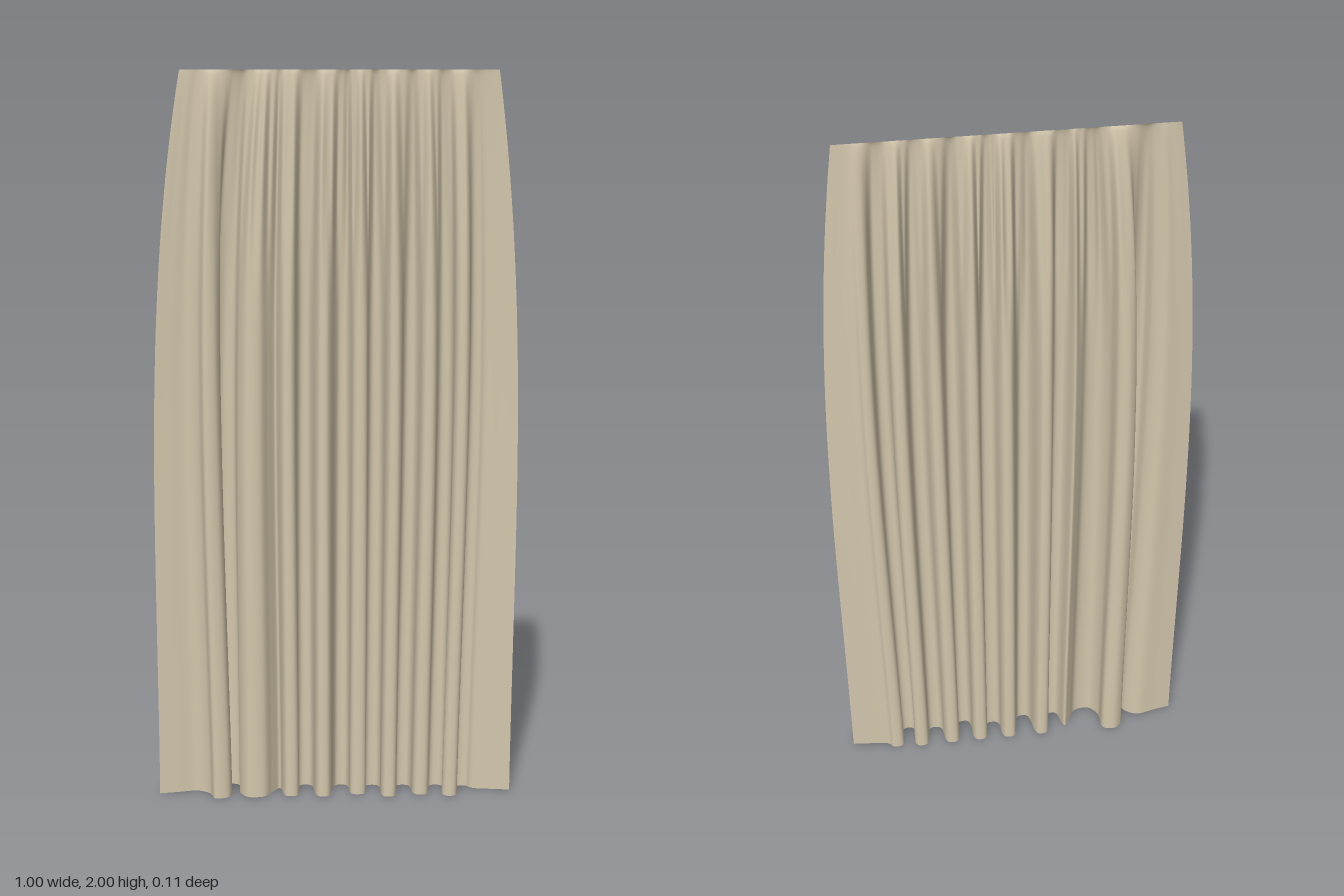
import * as THREE from 'three';

const HEIGHT = 2, COLUMNS = 420, ROWS = 48;

// Hem outline as [x, z]: flat left panel and its deep double fold
const leftPanel = [
  [-0.497, 0.012], [-0.45, 0.004], [-0.39, -0.006], [-0.355, 0.015], [-0.338, 0.05],
  [-0.3, 0.04], [-0.295, 0], [-0.335, -0.03], [-0.31, -0.055], [-0.275, -0.045],
  [-0.27, 0.01], [-0.245, 0.042], [-0.2, 0.038], [-0.178, 0.005], [-0.158, -0.02],
];
// Regular pleats as [centre x, z], alternating front and back
const pleats = [
  [-0.125, 0.038], [-0.085, -0.044], [-0.035, 0.041], [0.016, -0.043], [0.063, 0.027],
  [0.105, -0.04], [0.15, 0.045], [0.192, -0.039], [0.24, 0.032], [0.286, -0.038],
  [0.322, 0.042], [0.362, -0.031],
];
const rightPanel = [[0.395, -0.012], [0.44, -0.006], [0.495, 0]];

function hemCurve() {
  const points = [...leftPanel];
  // Each pleat is a rounded lobe
  for (const [x, z] of pleats) {
    for (const [dx, dz] of [[-0.021, 0.6], [-0.012, 0.95], [0.012, 0.95], [0.021, 0.6]]) {
      points.push([x + dx, z * dz]);
    }
  }
  points.push(...rightPanel);
  const curve = new THREE.CatmullRomCurve3(points.map(([x, z]) => new THREE.Vector3(x, 0, z)));
  curve.arcLengthDivisions = 3000;
  return curve;
}

export function createModel() {
  const group = new THREE.Group();
  group.name = 'curtain';

  const fabric = new THREE.MeshStandardMaterial({ color: 0xd3c6ac, side: THREE.DoubleSide });
  fabric.name = 'beige fabric';

  const hem = hemCurve().getSpacedPoints(COLUMNS);
  const geometry = new THREE.PlaneGeometry(1, 1, COLUMNS, ROWS);
  const position = geometry.attributes.position;

  for (let row = 0; row <= ROWS; row++) {
    // Rows crowd together towards the gathered top
    const t = 1 - Math.pow(row / ROWS, 1.6);
    const depth = Math.pow(1 - Math.pow(t, 4), 0.6);
    const gather = 0.55 * t + 0.45 * Math.pow(t, 5);
    const crinkle = THREE.MathUtils.smoothstep(t, 0.65, 0.93) * depth * 0.012;
    // Side edges bow outwards below the top
    const bow = 0.022 * Math.sin(Math.PI * t) * (0.5 + t);

    for (let column = 0; column <= COLUMNS; column++) {
      const u = column / COLUMNS;
      const topX = THREE.MathUtils.lerp(-0.408, 0.43, u);
      const ripple = Math.sin(u * 190 + 2 * Math.sin(u * 23)) * Math.sin(Math.PI * u);
      const x = THREE.MathUtils.lerp(hem[column].x, topX, gather) + bow * (2 * u - 1);
      const z = hem[column].z * depth + ripple * crinkle;
      position.setXYZ(row * (COLUMNS + 1) + column, x, t * HEIGHT, z);
    }
  }
  geometry.computeVertexNormals();

  const cloth = new THREE.Mesh(geometry, fabric);
  cloth.name = 'pleatedCloth';
  group.add(cloth);
  return group;
}
